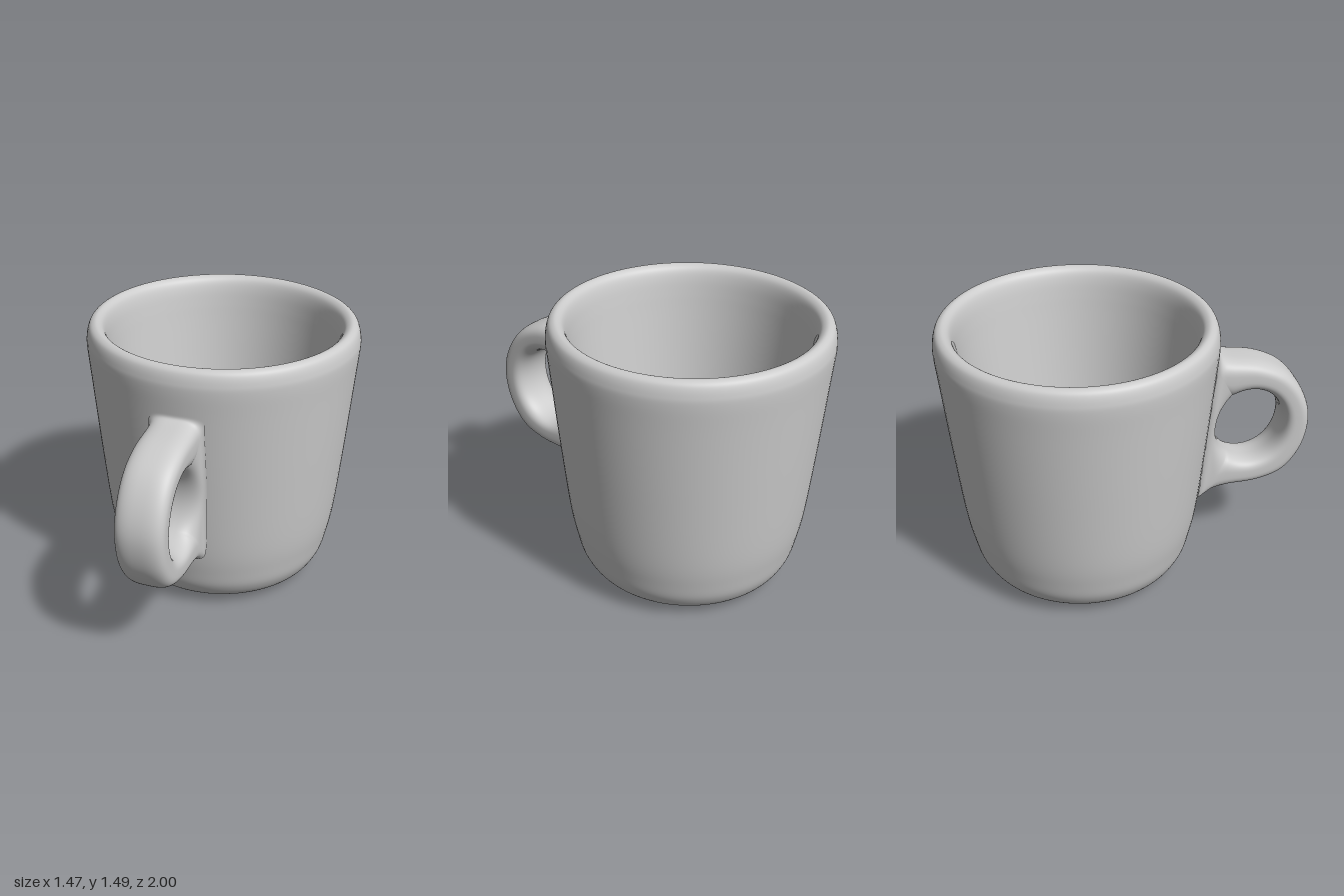
import * as THREE from 'three';

const CUP_Z = -0.264;
const material = new THREE.MeshStandardMaterial({ color: 0xcccccc, side: THREE.DoubleSide });
const v2 = ([x, y]) => new THREE.Vector2(x, y);

// Outside radius of the cup wall at a given height
const WALL_SLOPE = 0.092;
const wallRadius = (y) => 0.61 + WALL_SLOPE * y;

function createCup() {
  // Underside, outer wall, rounded rim and tapering inner wall
  const profile = new THREE.SplineCurve([
    [0, 0], [0.15, 0], [0.3, 0.002], [0.43, 0.016], [0.525, 0.056], [0.583, 0.135], [0.613, 0.24],
    [0.645, 0.42], [0.684, 0.8], [0.72, 1.2], [0.734, 1.36], [0.731, 1.42], [0.716, 1.466],
    [0.69, 1.484], [0.665, 1.48], [0.643, 1.458], [0.627, 1.41], [0.614, 1.33], [0.597, 1.2],
    [0.543, 0.8], [0.49, 0.42], [0.462, 0.25], [0.437, 0.14],
  ].map(v2));
  // Flat inner floor, meeting the wall at a tight edge
  const floor = [[0.431, 0.135], [0.425, 0.135], [0, 0.135]].map(v2);

  const points = [...profile.getPoints(160), ...floor];
  const cup = new THREE.Mesh(new THREE.LatheGeometry(points, 96), material);
  cup.name = 'cup';
  cup.position.z = CUP_Z;
  return cup;
}

function createHandle() {
  // Outer outline as (z, y); the last points lie inside the cup wall
  const outline = new THREE.SplineCurve([
    [0.41, 1.275], [0.46, 1.242], [0.53, 1.22], [0.7, 1.19], [0.85, 1.115], [0.955, 0.98],
    [1.0, 0.82], [0.97, 0.64], [0.87, 0.495], [0.72, 0.437], [0.55, 0.422], [0.45, 0.4],
    [0.39, 0.362], [0.35, 0.36], [0.345, 0.5], [0.38, 0.8], [0.4, 1.1], [0.41, 1.275],
  ].map(v2));
  const hole = { z: 0.66, y: 0.805, rz: 0.19, ry: 0.22 };
  const loops = 160, sides = 64;
  const soften = (t) => Math.sign(t) * Math.abs(t) ** 0.66;
  const positions = [], indices = [];
  const gapToWall = (x, y, z) => Math.max(0, Math.hypot(x, z - CUP_Z) - wallRadius(y));

  for (let i = 0; i < loops; i++) {
    const outer = outline.getPoint(i / loops);
    // Matching point on the oval finger hole
    const a = Math.atan2((outer.y - hole.y) / hole.ry, (outer.x - hole.z) / hole.rz);
    const inner = new THREE.Vector2(hole.z + hole.rz * Math.cos(a), hole.y + hole.ry * Math.sin(a));
    for (let j = 0; j < sides; j++) {
      // Rounded-rectangle section between the hole and the outline
      const b = (j / sides) * Math.PI * 2;
      const p = inner.clone().lerp(outer, 0.5 + 0.5 * soften(Math.cos(b)));
      let x = (0.122 + 0.01 * p.y) * soften(Math.sin(b));
      // Flare into the cup wall
      x *= 1 + 0.14 * Math.exp(-((gapToWall(x, p.y, p.x) / 0.03) ** 2));
      positions.push(x, p.y, p.x);

      const i2 = (i + 1) % loops, j2 = (j + 1) % sides;
      const q = [i * sides + j, i2 * sides + j, i2 * sides + j2, i * sides + j2];
      indices.push(q[0], q[1], q[2], q[0], q[2], q[3]);
    }
  }

  const geometry = new THREE.BufferGeometry();
  geometry.setAttribute('position', new THREE.Float32BufferAttribute(positions, 3));
  geometry.setIndex(indices);
  geometry.computeVertexNormals();

  // Blend the shading into the cup wall where the handle meets it
  const { position, normal } = geometry.attributes;
  const p = new THREE.Vector3(), n = new THREE.Vector3(), wallNormal = new THREE.Vector3();
  for (let i = 0; i < position.count; i++) {
    p.fromBufferAttribute(position, i);
    n.fromBufferAttribute(normal, i);
    wallNormal.set(p.x, 0, p.z - CUP_Z).normalize().setY(-WALL_SLOPE).normalize();
    n.lerp(wallNormal, Math.exp(-((gapToWall(p.x, p.y, p.z) / 0.03) ** 2))).normalize();
    normal.setXYZ(i, n.x, n.y, n.z);
  }

  const handle = new THREE.Mesh(geometry, material);
  handle.name = 'handle';
  return handle;
}

export function createModel() {
  const mug = new THREE.Group();
  mug.name = 'mug';
  mug.add(createCup(), createHandle());
  return mug;
}
